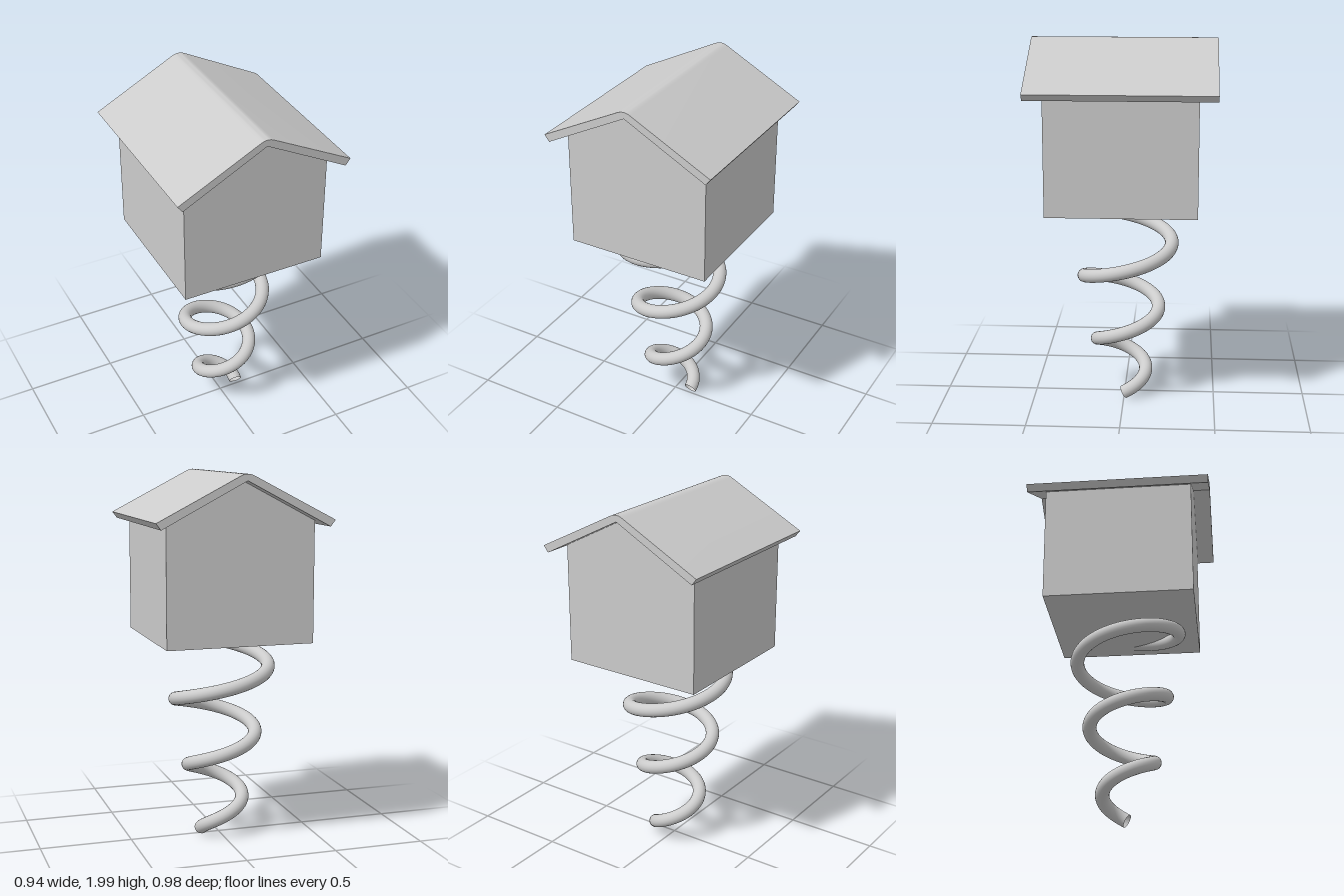
import * as THREE from 'three';
import { toCreasedNormals } from 'three/addons/utils/BufferGeometryUtils.js';

const material = new THREE.MeshStandardMaterial({ color: 0xcccccc });
const springMaterial = new THREE.MeshStandardMaterial({ color: 0xcccccc, side: THREE.DoubleSide });

// Extrude a front outline symmetrically about z = 0.
function extrudeCentred(shape, depth, name) {
  const geometry = new THREE.ExtrudeGeometry(shape, { depth, bevelEnabled: false, curveSegments: 8 });
  geometry.translate(0, 0, -depth / 2);
  const mesh = new THREE.Mesh(toCreasedNormals(geometry, 0.4), material);
  mesh.name = name;
  return mesh;
}

// Conical helix: widens and rises evenly over three turns.
class SpringCurve extends THREE.Curve {
  getPoint(t, target = new THREE.Vector3()) {
    const angle = t * 3 * Math.PI * 2;
    const radius = 0.1 + 0.21 * t;
    return target.set(radius * Math.cos(angle), 0.04 + 1.115 * t, -radius * Math.sin(angle));
  }
}

export function createModel() {
  const model = new THREE.Group();
  model.name = 'springHouse';

  // Spring, its upper end running into the house floor
  const spring = new THREE.Mesh(new THREE.TubeGeometry(new SpringCurve(), 180, 0.037, 20), springMaterial);
  spring.name = 'spring';
  model.add(spring);

  // House body with gabled front and back
  const walls = new THREE.Shape();
  walls.moveTo(-0.395, 1.12);
  walls.lineTo(0.395, 1.12);
  walls.lineTo(0.395, 1.76);
  walls.lineTo(0, 1.968);
  walls.lineTo(-0.395, 1.76);
  walls.closePath();
  model.add(extrudeCentred(walls, 0.79, 'houseBody'));

  // Overhanging roof with a rounded ridge
  const roof = new THREE.Shape();
  roof.moveTo(-0.47, 1.767);
  roof.lineTo(-0.444, 1.733);
  roof.lineTo(0, 1.967);
  roof.lineTo(0.444, 1.733);
  roof.lineTo(0.47, 1.767);
  roof.lineTo(0.035, 1.992);
  roof.quadraticCurveTo(0, 2.01, -0.035, 1.992);
  roof.closePath();
  model.add(extrudeCentred(roof, 0.98, 'roof'));

  return model;
}
